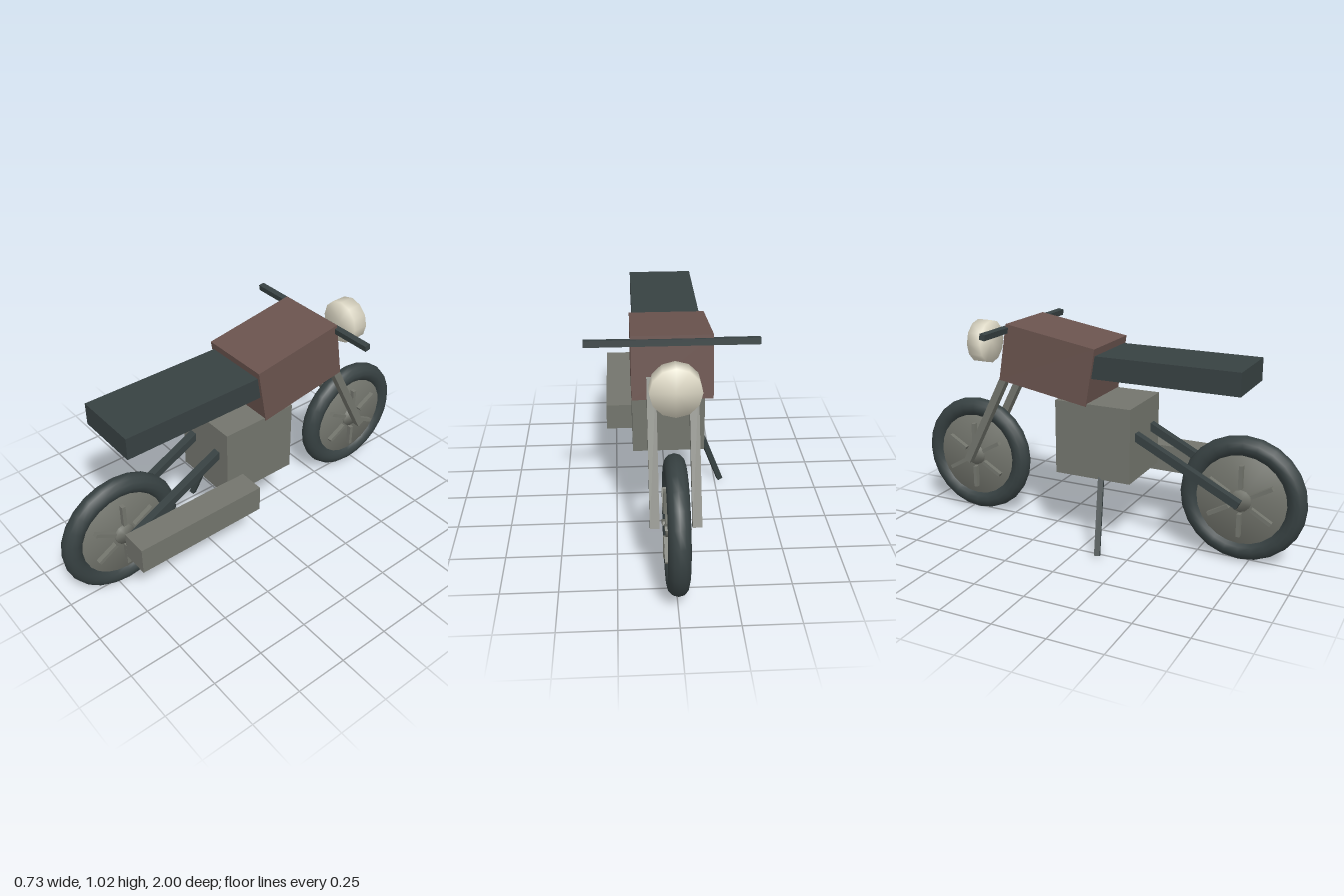
import * as THREE from 'three';
import { mergeVertices } from 'three/addons/utils/BufferGeometryUtils.js';

const material = (name, color) => {
  const m = new THREE.MeshStandardMaterial({ color });
  m.name = name;
  return m;
};

export function createModel() {
  const black = material('charcoal', 0x374142);
  const grey = material('engine grey', 0x73756d);
  const brown = material('tank brown', 0x6a534e);
  const cream = material('lamp cream', 0xe0dbc8);

  const model = new THREE.Group();
  model.name = 'motorcycle';

  const add = (name, geometry, mat, position = [0, 0, 0], parent = model) => {
    const mesh = new THREE.Mesh(geometry, mat);
    mesh.name = name;
    mesh.position.set(...position);
    parent.add(mesh);
    return mesh;
  };
  const box = (name, size, position, mat, parent) =>
    add(name, new THREE.BoxGeometry(...size), mat, position, parent);

  // Rectangular bar running between two points
  const bar = (name, from, to, width, depth, mat) => {
    const a = new THREE.Vector3(...from), b = new THREE.Vector3(...to);
    const mesh = box(name, [width, depth, a.distanceTo(b)], [0, 0, 0], mat);
    mesh.position.copy(a).add(b).multiplyScalar(0.5);
    mesh.lookAt(b);
    return mesh;
  };

  // Cylinder whose normals blend across the rim
  const softCylinder = (radius, depth, sides) => {
    let g = new THREE.CylinderGeometry(radius, radius, depth, sides);
    g.deleteAttribute('normal');
    g.deleteAttribute('uv');
    g = mergeVertices(g, 1e-4);
    g.computeVertexNormals();
    return g;
  };

  // Wheels: tyre, disc, hub and six spokes, all turning about x
  const makeWheel = (name, z) => {
    const wheel = new THREE.Group();
    wheel.name = name;
    wheel.position.set(0, 0.302, z);
    model.add(wheel);
    add('tyre', new THREE.TorusGeometry(0.25, 0.046, 12, 24), black, [0, 0, 0], wheel).rotation.y = Math.PI / 2;
    add('wheelDisc', softCylinder(0.21, 0.06, 24), grey, [0, 0, 0], wheel).rotation.z = Math.PI / 2;
    add('hub', softCylinder(0.05, 0.088, 12), grey, [0, 0, 0], wheel).rotation.z = Math.PI / 2;
    for (let i = 0; i < 6; i++) {
      const a = i * Math.PI / 3;
      const spoke = box('spoke', [0.106, 0.11, 0.018],
        [0, Math.cos(a) * 0.115, Math.sin(a) * 0.115], grey, wheel);
      spoke.rotation.x = a;
    }
  };
  makeWheel('frontWheel', -0.705);
  makeWheel('rearWheel', 0.705);

  // Body
  box('engineBlock', [0.334, 0.355, 0.38], [0, 0.519, 0.03], grey);
  box('fuelTank', [0.344, 0.274, 0.464], [0, 0.857, -0.206], brown).rotation.x = 0.163;
  box('seat', [0.314, 0.106, 0.72], [0, 0.867, 0.36], black);
  box('exhaust', [0.127, 0.129, 0.643], [0.228, 0.37, 0.452], grey);

  // Fork legs and swing arms on both sides
  for (const s of [-1, 1]) {
    bar('forkLeg', [s * 0.089, 0.29, -0.712], [s * 0.089, 0.85, -0.425], 0.04, 0.036, grey);
    bar('swingArm', [s * 0.089, 0.303, 0.715], [s * 0.089, 0.56, 0.2], 0.038, 0.036, black);
  }

  // Steering, lamp and stand
  box('handlebar', [0.73, 0.028, 0.028], [0, 1.002, -0.416], black).rotation.x = 0.163;
  add('headlight', softCylinder(0.106, 0.075, 12), cream, [0, 0.897, -0.643]).rotation.x = Math.PI / 2;
  bar('kickstand', [-0.145, 0.37, 0.067], [-0.277, 0.01, 0.11], 0.026, 0.026, black);

  return model;
}
